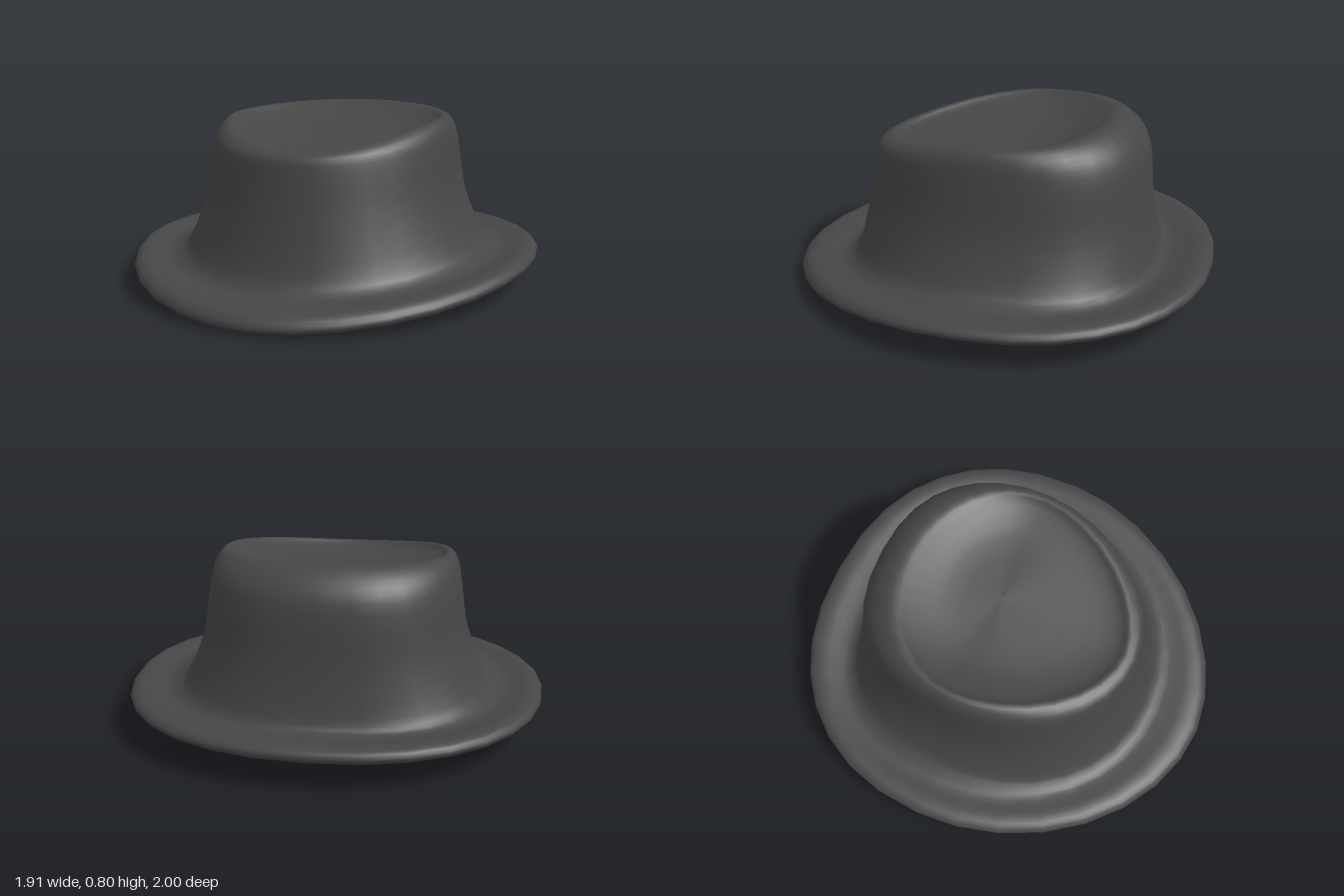
import * as THREE from 'three';

const SEGMENTS = 32; // sides around the hat
const STEPS = 3; // smoothed rings between two control rings
const Z_MID = -0.07; // z of the widest point of each ring

// Each control ring: half width, front z, back z, y at front / side / back,
// roundness of the front half and of the back half (2 = ellipse, more = boxier)
const lining = [
  [0, Z_MID, Z_MID, 0.64, 0.64, 0.64, 2, 2],
  [0.30, 0.30, -0.32, 0.58, 0.64, 0.67, 1.9, 2],
  [0.47, 0.49, -0.48, 0.59, 0.68, 0.72, 1.9, 2.1],
  [0.53, 0.56, -0.61, 0.50, 0.58, 0.61, 2, 2.3],
  [0.57, 0.60, -0.66, 0.30, 0.35, 0.40, 2, 2.4],
  [0.63, 0.64, -0.70, 0.10, 0.15, 0.18, 2, 2.4],
];
const brim = [
  [0.72, 0.71, -0.75, 0.02, 0.09, 0.10, 2, 2.4],
  [0.84, 0.85, -0.87, 0.002, 0.085, 0.09, 1.95, 2.3],
  [0.93, 0.97, -0.97, 0.01, 0.11, 0.12, 1.9, 2.25],
  [0.955, 1, -1, 0.035, 0.14, 0.15, 1.9, 2.25],
  [0.93, 0.97, -0.98, 0.075, 0.165, 0.178, 1.9, 2.25],
  [0.88, 0.90, -0.92, 0.09, 0.17, 0.18, 1.95, 2.3],
  [0.80, 0.82, -0.84, 0.085, 0.155, 0.16, 2, 2.4],
];
const crown = [
  [0.74, 0.75, -0.77, 0.09, 0.17, 0.155, 2.1, 2.6],
  [0.68, 0.69, -0.735, 0.16, 0.215, 0.21, 2.1, 2.6],
  [0.605, 0.635, -0.70, 0.40, 0.40, 0.40, 2.05, 2.5],
  [0.572, 0.605, -0.68, 0.58, 0.61, 0.63, 2, 2.4],
  [0.555, 0.59, -0.64, 0.635, 0.71, 0.73, 1.95, 2.3],
  [0.53, 0.56, -0.57, 0.655, 0.757, 0.79, 1.85, 2.15],
  [0.50, 0.53, -0.51, 0.66, 0.765, 0.80, 1.8, 2.05],
  [0.46, 0.48, -0.45, 0.64, 0.735, 0.775, 1.8, 2],
  [0.30, 0.30, -0.30, 0.645, 0.69, 0.715, 1.9, 2],
  [0, Z_MID, Z_MID, 0.685, 0.685, 0.685, 2, 2],
];

// Catmull-Rom blend of four numbers
function blend(a, b, c, d, t) {
  const m0 = (c - a) / 2;
  const m1 = (d - b) / 2;
  const t2 = t * t;
  const t3 = t2 * t;
  return (2 * t3 - 3 * t2 + 1) * b + (t3 - 2 * t2 + t) * m0 + (3 * t2 - 2 * t3) * c + (t3 - t2) * m1;
}

// Adds smooth in-between rings
function refine(rings) {
  const last = rings.length - 1;
  const at = (i) => rings[THREE.MathUtils.clamp(i, 0, last)];
  const out = [];
  for (let i = 0; i < last; i++) {
    for (let s = 0; s < STEPS; s++) {
      out.push(at(i).map((v, k) => blend(at(i - 1)[k], v, at(i + 1)[k], at(i + 2)[k], s / STEPS)));
    }
  }
  out.push(rings[last]);
  return out;
}

// Point on an egg-shaped ring whose height follows front, side and back
function ringPoint([w, zFront, zBack, yFront, ySide, yBack, nFront, nBack], angle) {
  const s = Math.sin(angle);
  const c = Math.cos(angle);
  const front = c >= 0;
  const power = 2 / (front ? nFront : nBack);
  const reach = Math.abs(c) ** power;
  const x = w * Math.sign(s) * Math.abs(s) ** power;
  const y = ySide + ((front ? yFront : yBack) - ySide) * reach ** 1.5;
  const z = Z_MID + ((front ? zFront : zBack) - Z_MID) * reach;
  return [x, y, z];
}

function loft(rings) {
  const positions = [];
  const index = [];
  rings.forEach((ring, i) => {
    for (let j = 0; j < SEGMENTS; j++) {
      positions.push(...ringPoint(ring, (j / SEGMENTS) * Math.PI * 2));
      if (i === rings.length - 1) continue;
      const a = i * SEGMENTS + j;
      const b = i * SEGMENTS + ((j + 1) % SEGMENTS);
      if (i < rings.length - 2) index.push(a, b, b + SEGMENTS, a, b + SEGMENTS, a + SEGMENTS);
      else index.push(a, b, a + SEGMENTS);
    }
  });
  const geometry = new THREE.BufferGeometry();
  geometry.setAttribute('position', new THREE.Float32BufferAttribute(positions, 3));
  geometry.setIndex(index);
  geometry.computeVertexNormals();
  return geometry;
}

export function createModel() {
  const felt = new THREE.MeshStandardMaterial({ color: 0x464646 });
  felt.name = 'charcoal felt';

  // One continuous skin: lining, rolled brim, crown and its sunken top
  const hat = new THREE.Mesh(loft(refine([...lining, ...brim, ...crown])), felt);
  hat.name = 'hat';

  const model = new THREE.Group();
  model.name = 'feltHat';
  model.add(hat);
  return model;
}
